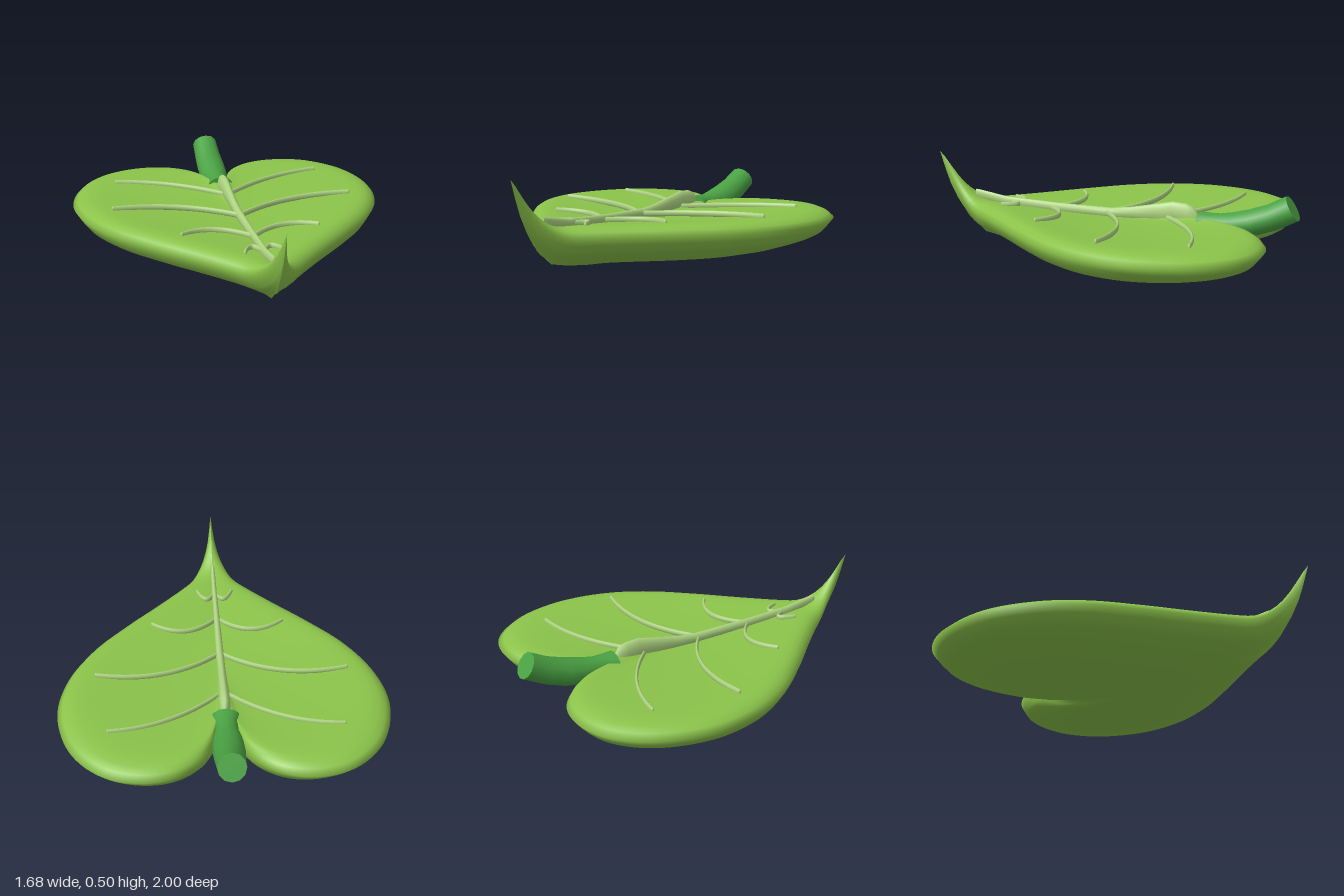
import * as THREE from 'three';

const mat = (name, color) => {
  const m = new THREE.MeshStandardMaterial({ color });
  m.name = name;
  return m;
};

// Upward curl of the pointed tip
const lift = z => (z > 0.7 ? 0.3 * Math.pow((z - 0.7) / 0.3, 2) : 0);

// Half of the heart outline as [x, z], from the notch round to the tip
const outline = new THREE.CatmullRomCurve3([
  [0, -0.48], [0.05, -0.59], [0.085, -0.7], [0.15, -0.8], [0.27, -0.885], [0.42, -0.91],
  [0.6, -0.86], [0.76, -0.69], [0.84, -0.4], [0.8, -0.13], [0.685, 0.1], [0.505, 0.32],
  [0.305, 0.535], [0.14, 0.725], [0.058, 0.845], [0.022, 0.92], [0, 1],
].map(([x, z]) => new THREE.Vector3(x, 0, z))).getSpacedPoints(80);

// Blade profile as [share of the outline, height]: dished top, rim, then underside
const profile = [
  [0, 0.215], [0.2, 0.217], [0.4, 0.225], [0.6, 0.236], [0.74, 0.245], [0.82, 0.249], [0.88, 0.249],
  [0.93, 0.243], [0.97, 0.227], [1, 0.2],
  [0.97, 0.163], [0.94, 0.132], [0.9, 0.113], [0.83, 0.09], [0.73, 0.063], [0.6, 0.04],
  [0.45, 0.022], [0.3, 0.01], [0.15, 0.003], [0, 0],
];

// One half of the blade, swept round the outline
function bladeHalf(side) {
  const pos = [], idx = [], n = profile.length;
  for (const p of outline) {
    for (const [t, y] of profile) pos.push(side * p.x * t, y + lift(p.z * t), p.z * t);
  }
  for (let i = 0; i < outline.length - 1; i++) {
    for (let j = 0; j < n - 1; j++) {
      const a = i * n + j, b = a + n, c = a + 1, d = b + 1;
      if (side > 0) idx.push(a, b, c, b, d, c);
      else idx.push(a, c, b, b, c, d);
    }
  }
  const g = new THREE.BufferGeometry();
  g.setAttribute('position', new THREE.Float32BufferAttribute(pos, 3));
  g.setIndex(idx);
  g.computeVertexNormals();
  return g;
}

// Capped bar running towards -z; each ring is [z, y, half width, half height, tilt]
function bar(rings, sides) {
  const n = rings.length - 1;
  const g = new THREE.CylinderGeometry(1, 1, 1, sides, n, false, Math.PI);
  const p = g.attributes.position;
  for (let i = 0; i < p.count; i++) {
    const [z, y, w, h, tilt] = rings[Math.round((p.getY(i) + 0.5) * n)];
    const u = p.getX(i) * w, v = p.getZ(i) * h;
    p.setXYZ(i, u, y + v * Math.cos(tilt), z + v * Math.sin(tilt));
  }
  g.computeVertexNormals();
  return g;
}

export function createModel() {
  const leafGreen = mat('leaf green', 0x8bc34a);
  const stemGreen = mat('stem green', 0x4aa243);
  const veinGreen = mat('vein green', 0xaed581);
  const model = new THREE.Group();
  model.name = 'leaf';
  const add = (name, geometry, material, parent = model) => {
    const mesh = new THREE.Mesh(geometry, material);
    mesh.name = name;
    parent.add(mesh);
    return mesh;
  };

  // Leaf blade
  add('leftBlade', bladeHalf(1), leafGreen);
  add('rightBlade', bladeHalf(-1), leafGreen);

  // Stem, flared where it meets the blade
  add('stem', bar([
    [-0.48, 0.222, 0.073, 0.055, 0], [-0.54, 0.218, 0.063, 0.058, 0.02], [-0.6, 0.216, 0.062, 0.061, 0.09],
    [-0.67, 0.222, 0.077, 0.067, 0.18], [-0.76, 0.242, 0.08, 0.07, 0.29],
    [-0.86, 0.277, 0.075, 0.07, 0.42], [-0.965, 0.332, 0.07, 0.07, 0.53],
  ], 12), stemGreen);

  // Midrib, a tall ridge standing in the dish
  add('midrib', bar([
    [0.785, 0.278, 0.009, 0.024, 0], [0.77, 0.275, 0.012, 0.027, 0], [0.6, 0.247, 0.014, 0.027, 0],
    [0.3, 0.235, 0.017, 0.027, 0], [0, 0.231, 0.021, 0.028, 0], [-0.1, 0.237, 0.021, 0.033, 0],
    [-0.22, 0.248, 0.023, 0.046, 0], [-0.34, 0.259, 0.027, 0.06, 0], [-0.41, 0.253, 0.029, 0.061, 0],
    [-0.45, 0.243, 0.025, 0.059, 0], [-0.475, 0.225, 0.013, 0.036, 0],
  ], 12), veinGreen);

  // Side veins in mirrored pairs: start, control and end as [x, height, z]
  const tall = 2;
  const veins = [
    [[0, 0.234, -0.295], [0.26, 0.24, -0.565], [0.58, 0.25, -0.59]],
    [[0, 0.232, 0.03], [0.28, 0.238, -0.22], [0.65, 0.253, -0.15]],
    [[0, 0.234, 0.345], [0.17, 0.238, 0.14], [0.355, 0.249, 0.285]],
    [[0, 0.245, 0.585], [0.045, 0.247, 0.44], [0.097, 0.25, 0.585]],
  ];
  veins.forEach((pts, i) => {
    for (const [label, side] of [['left', 1], ['right', -1]]) {
      const [a, b, c] = pts.map(([x, y, z]) => new THREE.Vector3(side * x, y / tall, z));
      const group = new THREE.Group();
      group.name = label + 'Vein' + (i + 1);
      group.scale.y = tall;
      model.add(group);
      add('veinRib', new THREE.TubeGeometry(new THREE.QuadraticBezierCurve3(a, b, c), 20, 0.008, 8), veinGreen, group);
      add('veinEnd', new THREE.SphereGeometry(0.008, 8, 6), veinGreen, group).position.copy(c);
    }
  });
  return model;
}
